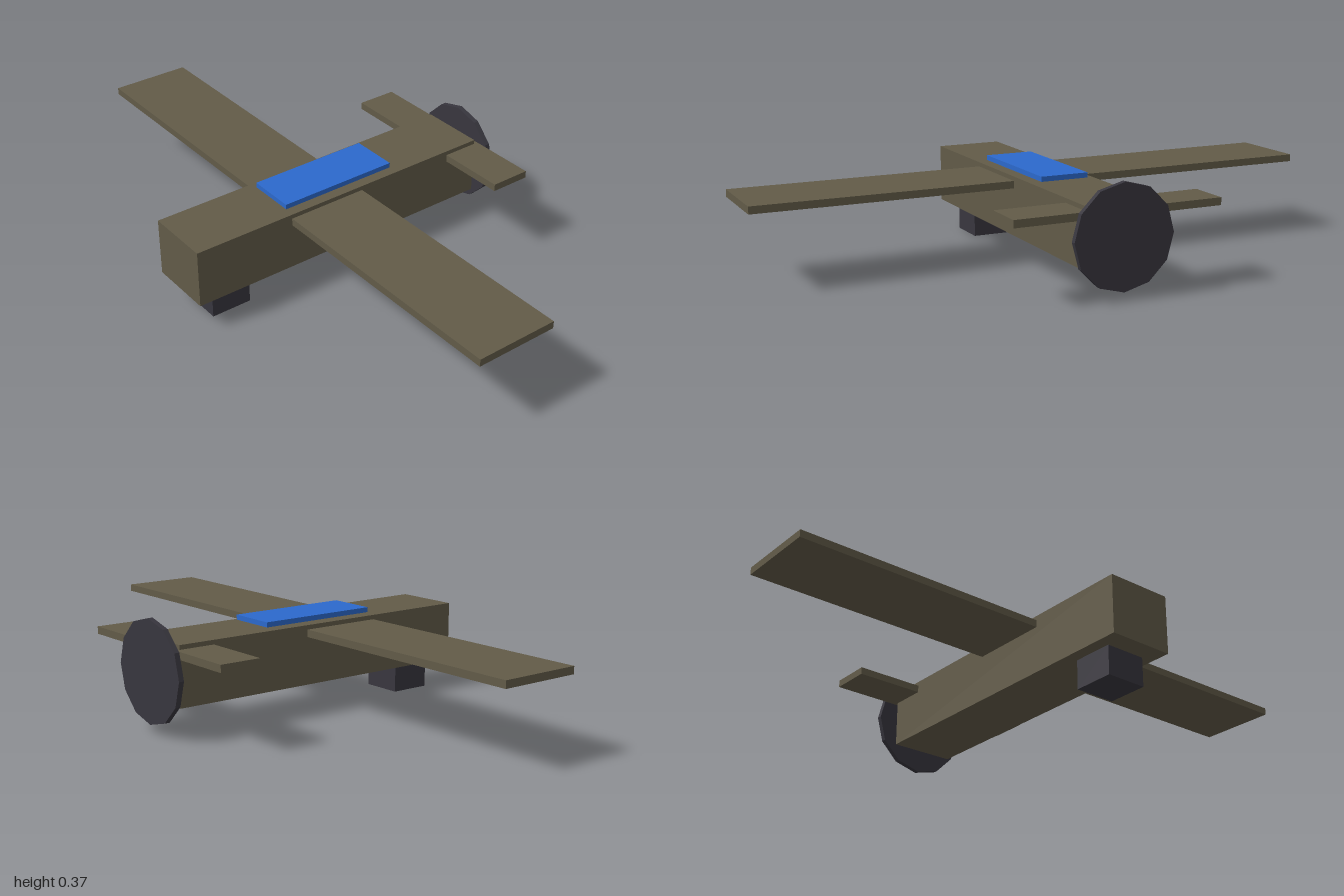
import * as THREE from 'three';

const flat = (name, color) => {
  const m = new THREE.MeshStandardMaterial({ color });
  m.name = name;
  return m;
};

export function createModel() {
  const olive = flat('olive', 0x625b48);
  const dark = flat('charcoal', 0x38363e);
  const blue = flat('blue', 0x2c69cc);
  const model = new THREE.Group();
  model.name = 'airplane';

  // Box centred on x, given by its half width and y / z ranges
  const slab = (name, material, halfX, [y0, y1], [z0, z1]) => {
    const mesh = new THREE.Mesh(new THREE.BoxGeometry(halfX * 2, y1 - y0, z1 - z0), material);
    mesh.position.set(0, (y0 + y1) / 2, (z0 + z1) / 2);
    mesh.name = name;
    model.add(mesh);
  };

  slab('fuselage', olive, 0.115, [0.1, 0.301], [-0.552, 0.592]);
  slab('mainWing', olive, 1, [0.261, 0.286], [-0.052, 0.233]);
  slab('tailWing', olive, 0.357, [0.261, 0.286], [-0.567, -0.424]);
  slab('canopy', blue, 0.084, [0.306, 0.323], [-0.195, 0.234]);
  slab('noseGear', dark, 0.072, [0, 0.101], [0.378, 0.521]);

  // Twelve-sided disc behind the tail
  const disc = new THREE.Mesh(
    new THREE.CylinderGeometry(0.171, 0.171, 0.018, 12).toNonIndexed(), dark);
  disc.geometry.computeVertexNormals();
  disc.rotation.x = Math.PI / 2;
  disc.position.set(0, 0.201, -0.583);
  disc.name = 'propellerDisc';
  model.add(disc);

  return model;
}
